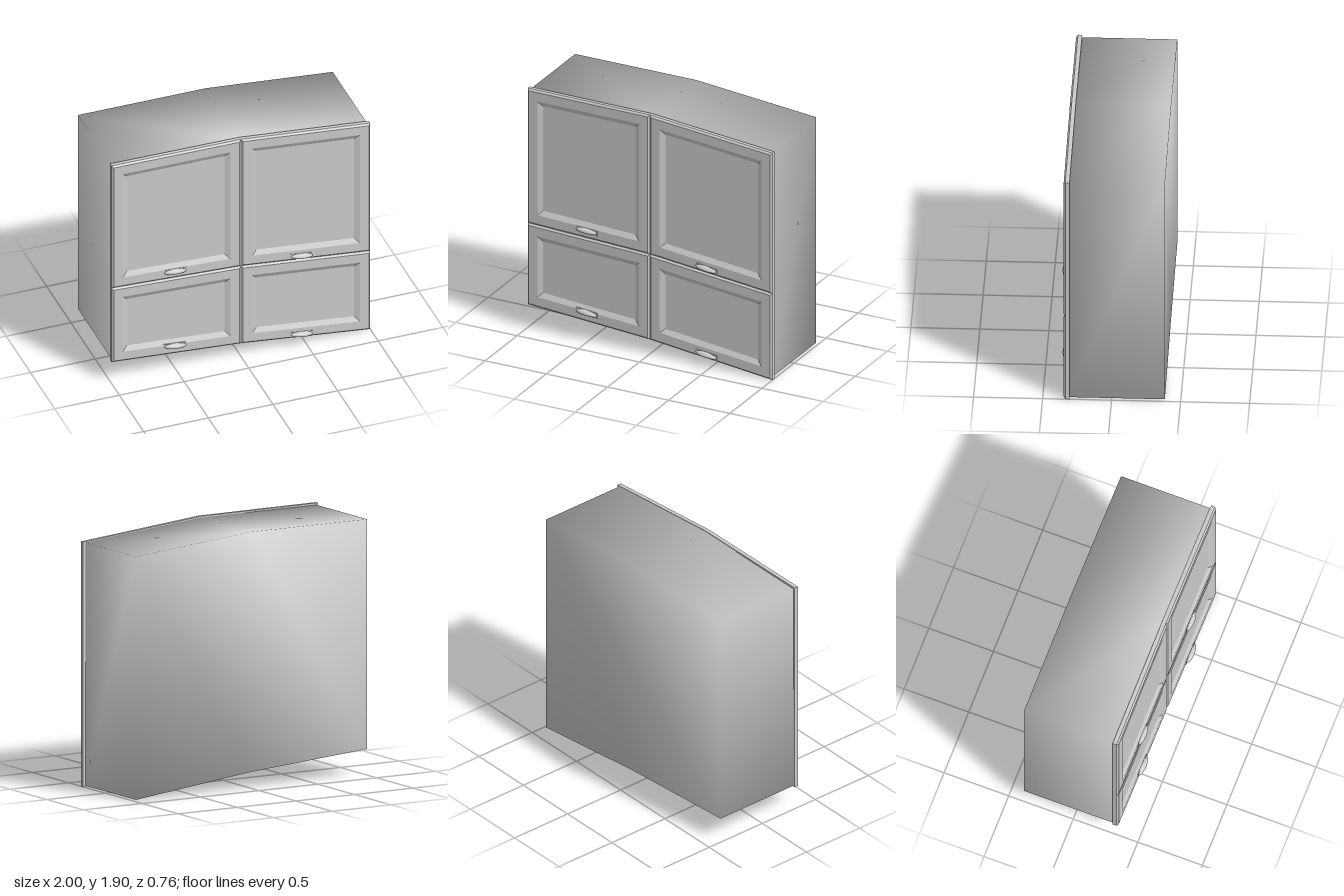
import * as THREE from 'three';
import { mergeVertices } from 'three/addons/utils/BufferGeometryUtils.js';

const grey = new THREE.MeshStandardMaterial({ color: 0xcccccc });
const greyDouble = new THREE.MeshStandardMaterial({ color: 0xcccccc, side: THREE.DoubleSide });

// Heights of the kinked horizontal lines at x = -1, 0 and 1
const TOP = [1.905, 1.9, 1.805];
const MIDDLE = [0.837, 0.795, 0.69];
const BOTTOM = [0.19, 0.118, 0.005];

function mesh(name, geometry, material = grey) {
  const m = new THREE.Mesh(geometry, material);
  m.name = name;
  return m;
}

// Carcass: a six-sided prism with normals blended over its corners
function makeBody() {
  const outline = [[-0.99, 0.2], [0, 0.125], [0.98, 0.012], [0.98, 1.8], [0, 1.89], [-0.99, 1.89]];
  const shape = new THREE.Shape(outline.map(([x, y]) => new THREE.Vector2(x, y)));
  let g = new THREE.ExtrudeGeometry(shape, { depth: 0.695, bevelEnabled: false });
  g.translate(0, 0, -0.385);
  g.deleteAttribute('uv');
  g.deleteAttribute('normal');
  g = mergeVertices(g);
  g.computeVertexNormals();
  return mesh('cabinetBody', g);
}

// Door: nested four-corner rings, from the back edge to the sunken panel
function makeDoor(name, column, low, high) {
  const x0 = column - 1;
  const y = (line, x) => THREE.MathUtils.lerp(line[column], line[column + 1], x - x0);
  const ring = (inset, z) => {
    const l = x0 + inset, r = x0 + 1 - inset;
    return [
      [l, y(low, l) + inset, z], [r, y(low, r) + inset, z],
      [r, y(high, r) - inset, z], [l, y(high, l) - inset, z],
    ];
  };
  const rings = [ring(0, 0.305), ring(0, 0.335), ring(0.014, 0.348), ring(0.085, 0.348), ring(0.122, 0.328)];
  const positions = [];
  const quad = (a, b, c, d) => positions.push(...a, ...b, ...c, ...a, ...c, ...d);
  for (let i = 0; i < rings.length - 1; i++) {
    for (let k = 0; k < 4; k++) {
      const n = (k + 1) % 4;
      quad(rings[i][k], rings[i][n], rings[i + 1][n], rings[i + 1][k]);
    }
  }
  quad(...rings[rings.length - 1]);
  quad(...[...rings[0]].reverse());
  const g = new THREE.BufferGeometry();
  g.setAttribute('position', new THREE.Float32BufferAttribute(positions, 3));
  g.computeVertexNormals();
  return mesh(name, g);
}

// Cup handle: thin plate and a shell open below, both sheared to the door's slope
function makeHandle(name, x, y, slope) {
  const shear = new THREE.Matrix4().set(
    1, 0, 0, x,
    slope, 1, 0, y,
    0, 0, 1, 0.348,
    0, 0, 0, 1,
  );
  const group = new THREE.Group();
  group.name = name;
  const plate = new THREE.BoxGeometry(0.175, 0.046, 0.006).applyMatrix4(shear);
  const cup = new THREE.SphereGeometry(1, 20, 10, 0, Math.PI, 0, Math.PI * 0.64)
    .scale(0.085, 0.023, 0.031).applyMatrix4(shear);
  group.add(mesh('handlePlate', plate), mesh('handleCup', cup, greyDouble));
  return group;
}

export function createModel() {
  const model = new THREE.Group();
  model.name = 'wallCabinet';
  model.add(makeBody());
  model.add(
    makeDoor('upperRightDoor', 0, MIDDLE, TOP),
    makeDoor('upperLeftDoor', 1, MIDDLE, TOP),
    makeDoor('lowerRightDoor', 0, BOTTOM, MIDDLE),
    makeDoor('lowerLeftDoor', 1, BOTTOM, MIDDLE),
  );
  model.add(
    makeHandle('upperRightHandle', -0.512, 0.877, -0.05),
    makeHandle('upperLeftHandle', 0.465, 0.781, -0.12),
    makeHandle('lowerRightHandle', -0.512, 0.227, -0.09),
    makeHandle('lowerLeftHandle', 0.465, 0.098, -0.12),
  );
  return model;
}
